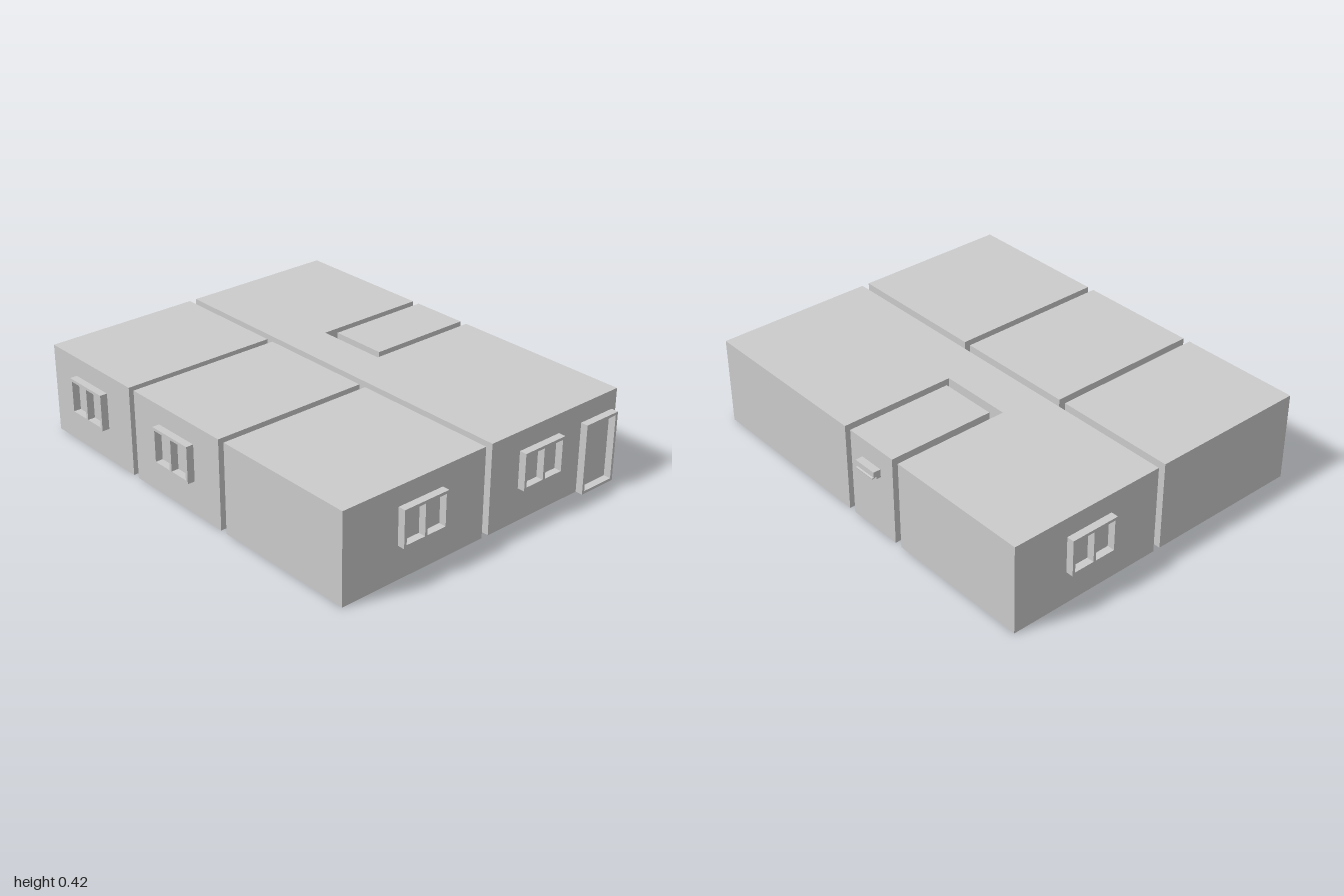
import * as THREE from 'three';

const HEIGHT = 0.42;
const DEPTH = 0.035; // how far frames stand out from the walls
const material = new THREE.MeshStandardMaterial({ color: 0xcccccc, flatShading: true });

function add(parent, geometry, name) {
  const mesh = new THREE.Mesh(geometry, material);
  mesh.name = name;
  parent.add(mesh);
  return mesh;
}

// Box given by its lower and upper bounds on each axis
function block(parent, name, [x0, x1], [y0, y1], [z0, z1]) {
  const mesh = add(parent, new THREE.BoxGeometry(x1 - x0, y1 - y0, z1 - z0), name);
  mesh.position.set((x0 + x1) / 2, (y0 + y1) / 2, (z0 + z1) / 2);
  return mesh;
}

function rectangle(Type, x, y, w, h) {
  const r = new Type();
  r.moveTo(x, y).lineTo(x + w, y).lineTo(x + w, y + h).lineTo(x, y + h).closePath();
  return r;
}

// Frame with evenly spaced openings, centred on x, standing on y = 0, facing +z
function frameGeometry(width, height, openings, bar) {
  const shape = rectangle(THREE.Shape, -width / 2, 0, width, height);
  const w = (width - bar * (openings + 1)) / openings;
  for (let i = 0; i < openings; i++) {
    const x = -width / 2 + bar + i * (w + bar);
    shape.holes.push(rectangle(THREE.Path, x, bar, w, height - 2 * bar));
  }
  return new THREE.ExtrudeGeometry(shape, { depth: DEPTH, bevelEnabled: false });
}

export function createModel() {
  const house = new THREE.Group();
  house.name = 'house';

  // Three separate rooms along the right side
  const rooms = [['backBedroom', -0.97, -0.39], ['middleBedroom', -0.355, 0.225], ['frontBedroom', 0.26, 0.965]];
  for (const [name, z0, z1] of rooms) block(house, name, [-0.78, -0.026], [0, HEIGHT], [z0, z1]);

  // Long living room wrapped around the bathroom
  const plan = [
    [0.01, -0.97], [0.768, -0.97], [0.768, -0.272], [0.216, -0.272],
    [0.216, 0.078], [0.768, 0.078], [0.768, 0.965], [0.01, 0.965],
  ];
  const floor = new THREE.Shape(plan.map(([x, z]) => new THREE.Vector2(x, -z)));
  const living = add(house, new THREE.ExtrudeGeometry(floor, { depth: HEIGHT, bevelEnabled: false }), 'livingRoom');
  living.rotation.x = -Math.PI / 2;
  block(house, 'bathroom', [0.258, 0.768], [0, HEIGHT], [-0.235, 0.042]);

  // Inner doors bridging the gaps between the rooms
  for (const [z0, z1] of [[-0.575, -0.412], [0.03, 0.198], [0.287, 0.45]])
    block(house, 'innerDoor', [-0.026, 0.01], [0, 0.33], [z0, z1]);
  block(house, 'bathroomDoor', [0.216, 0.258], [0, 0.33], [-0.135, -0.03]);

  // Two-pane windows: x, z, turn
  const pane = frameGeometry(0.235, 0.172, 2, 0.013);
  const windows = [
    [-0.378, 0.965, 0], [0.293, 0.965, 0], [0.383, -0.97, Math.PI],
    [-0.78, -0.68, -Math.PI / 2], [-0.78, -0.062, -Math.PI / 2],
  ];
  for (const [x, z, turn] of windows) {
    const frame = add(house, pane, 'window');
    frame.position.set(x, 0.157, z);
    frame.rotation.y = turn;
  }

  // Front door frame
  add(house, frameGeometry(0.195, 0.33, 1, 0.013), 'frontDoor').position.set(0.646, 0, 0.965);

  // Wall air conditioner with a tilted louver
  const cooler = new THREE.Group();
  cooler.name = 'airConditioner';
  block(cooler, 'casing', [0.768, 0.803], [0.302, 0.328], [-0.154, -0.034]);
  block(cooler, 'base', [0.768, 0.79], [0.29, 0.302], [-0.154, -0.034]);
  block(cooler, 'louver', [0.785, 0.808], [0.294, 0.299], [-0.148, -0.04]).rotation.z = -0.15;
  house.add(cooler);

  return house;
}
